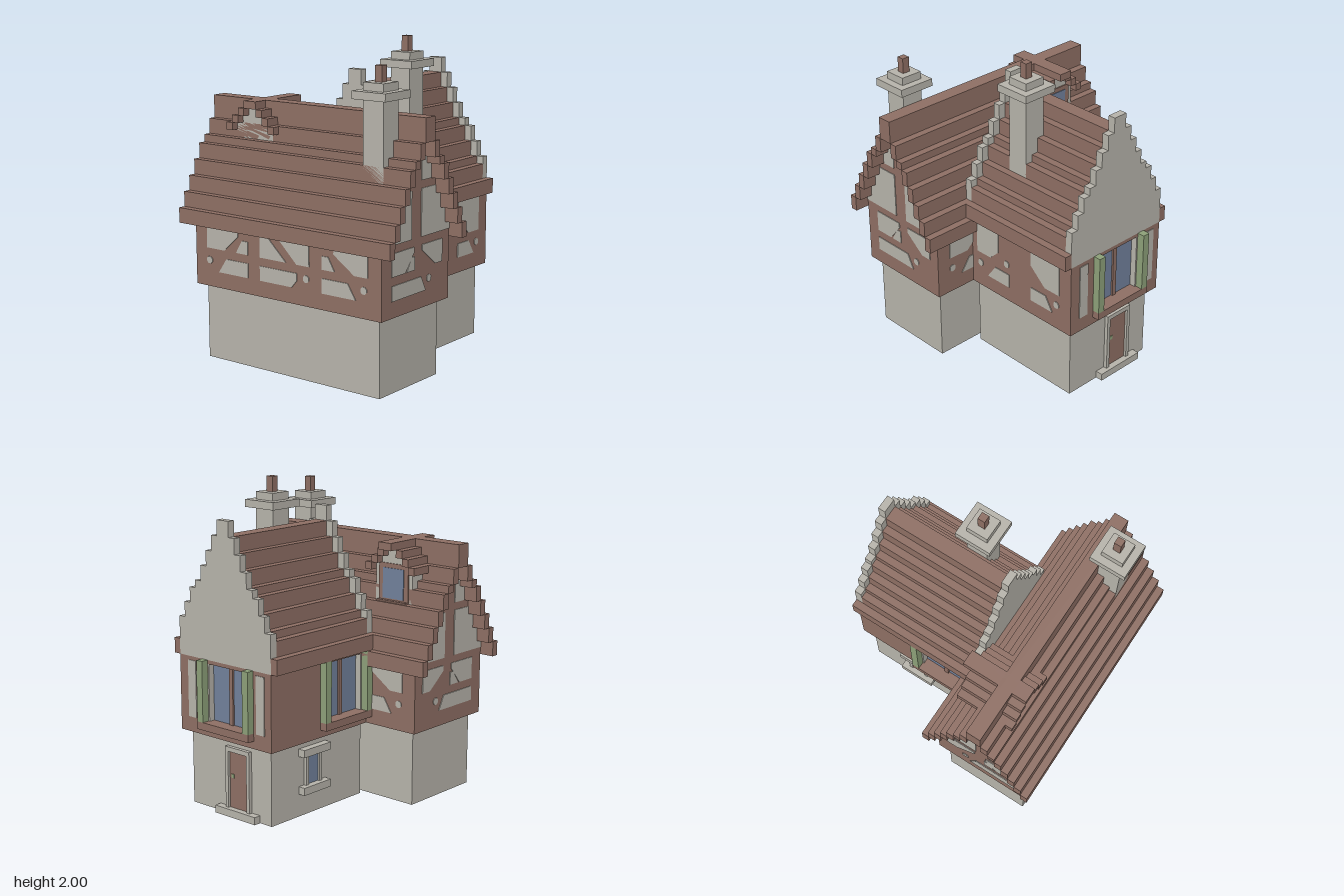
import * as THREE from 'three';

const material = (name, color) => {
  const m = new THREE.MeshStandardMaterial({ color, side: THREE.DoubleSide });
  m.name = name;
  return m;
};

export function createModel() {
  const timber = material('timberBrown', 0x8d6e63);
  const stone = material('stoneGrey', 0xb5b2a9);
  const green = material('shutterGreen', 0x8c9f78);
  const glass = material('windowGlass', 0x70809a);

  // Everything is laid out on a whole-number block grid, 21 blocks per unit
  const house = new THREE.Group();
  house.name = 'house';
  house.scale.setScalar(1 / 21);

  const group = (name, parent = house, x = 0, z = 0, turn = 0) => {
    const g = new THREE.Group();
    g.name = name;
    g.position.set(x, 0, z);
    g.rotation.y = turn;
    parent.add(g);
    return g;
  };
  const add = (parent, name, geometry, mat) => {
    const m = new THREE.Mesh(geometry, mat);
    m.name = name;
    parent.add(m);
    return m;
  };
  // Box given by its minimum and maximum corners
  const box = (parent, name, mat, x0, x1, y0, y1, z0, z1) => {
    const g = new THREE.BoxGeometry(x1 - x0, y1 - y0, z1 - z0);
    g.translate((x0 + x1) / 2, (y0 + y1) / 2, (z0 + z1) / 2);
    return add(parent, name, g, mat);
  };
  const outline = (p) => {
    const pts = [];
    for (let i = 0; i < p.length; i += 2) pts.push(new THREE.Vector2(p[i], p[i + 1]));
    return pts;
  };
  // Thin plaster plates on a wall face, in the wall's own x and y
  const plates = (parent, list) => list.forEach((p) => add(parent, 'plasterPanel',
    new THREE.ExtrudeGeometry(new THREE.Shape(outline(p)), { depth: 0.1, bevelEnabled: false }), stone));
  const dot = (x, y) => [x - 0.2, y - 0.45, x + 0.2, y - 0.45, x + 0.45, y - 0.2, x + 0.45, y + 0.2,
    x + 0.2, y + 0.45, x - 0.2, y + 0.45, x - 0.45, y + 0.2, x - 0.45, y - 0.2];
  const mirror = (list) => list.map((p) => p.map((v, i) => (i % 2 ? v : -v)));

  // Ground floors: shells open underneath
  const shell = (name, ...b) => {
    const m = box(house, name, stone, ...b);
    const idx = Array.from(m.geometry.index.array);
    idx.splice(18, 6);
    m.geometry.setIndex(idx);
    m.geometry.clearGroups();
  };
  shell('frontGroundFloor', -14, 14, 0, 10, 3, 15);
  shell('rearGroundFloor', -6, 8, 0, 10, -15, 2);

  // Upper floors
  box(house, 'frontUpperFloor', timber, -15, 15, 10, 18, 2, 16);
  box(house, 'rearUpperFloor', timber, -6, 9, 10, 20, -15, 2);

  // Stepped roof: blocks on both slopes, with a filled core under them
  const steppedRoof = (g, base, tops, z0, z1, coreMat, c0, c1) => {
    let y = base;
    tops.forEach((top, i) => {
      const d = tops.length - i;
      if (d === 1) box(g, 'roofRidge', timber, -1, 1, y, top, z0, z1);
      else {
        for (const s of [-1, 1]) {
          box(g, 'roofStep', timber, s > 0 ? d - 1 : -d, s > 0 ? d : 1 - d, y, top, z0, z1);
        }
        box(g, 'roofCore', coreMat, 1 - d, d - 1, y, top, c0, c1);
      }
      y = top;
    });
  };
  const frontRoof = group('frontRoof', house, 0, 9, Math.PI / 2);
  steppedRoof(frontRoof, 18, [20, 22, 24, 26, 28, 29, 31, 34], -17, 17, timber, -15, 15);

  const rearRoof = group('rearRoof', house, 1, 0);
  steppedRoof(rearRoof, 20, [22, 24, 25, 27, 29, 30, 32, 34, 36], -15, 2, timber, -15, 2);
  for (const s of [-1, 1]) {
    box(rearRoof, 'eaveEnd', timber, s * 8.5 - 0.5, s * 8.5 + 0.5, 20, 22, -16, -15);
    box(rearRoof, 'eaveEnd', timber, s * 8.5 - 0.5, s * 8.5 + 0.5, 20, 22, 2, 3);
  }

  // Crow-stepped stone gables at both ends of the rear roof
  for (const z of [-16, 2]) {
    let y = 20;
    [25, 27, 29, 30, 32, 34, 36, 38].forEach((top, i) => {
      box(rearRoof, 'stoneGable', stone, i - 8, 8 - i, y, top, z, z + 1);
      y = top;
    });
  }

  // Dormer crossing the front roof
  const dormer = group('dormer', house, -9, 0);
  steppedRoof(dormer, 30, [31, 32, 33, 34], 4, 12, stone, 5, 11);
  box(dormer, 'dormerRidgeEnd', timber, -1, 1, 33, 34, 3, 4);
  box(dormer, 'dormerWall', stone, -3, 3, 24, 30, 5, 11);
  box(dormer, 'dormerFrame', timber, -2.4, 2.4, 25.5, 31, 4.85, 5);
  box(dormer, 'dormerGlass', glass, -1.7, 1.7, 26.4, 30.4, 4.75, 4.9);
  box(dormer, 'dormerSill', timber, -2.4, 2.4, 25.4, 26.2, 4.3, 5);

  // Half-timbered long walls
  const longWall = [
    [-13, 18, -7.7, 18, -7.7, 17.2, -10, 15.1, -13, 15.1],
    [-8, 15.1, -6, 15.1, -6, 16.8, -7, 16.8],
    [-4, 18, -2.8, 18, 0.3, 15.1, -4, 15.1],
    [-1, 18, 4, 18, 4, 15.1, 2, 15.1],
    [6, 15.1, 8, 15.1, 7, 16.8, 6, 16.8],
    [8, 18, 7.8, 17.3, 11, 15.1, 13, 15.1, 13, 18],
    [-11, 12.1, -6, 12.1, -6, 14, -9.7, 14],
    [-4, 12.1, 1.2, 12.1, 2, 13, 2, 14, -4, 14],
    [6, 12.1, 11.2, 12.1, 10, 14, 6, 14],
    dot(-12.6, 13.5), dot(3.5, 13.5), dot(12.4, 13.5)];
  plates(group('frontWallPanels', house, 0, 16), longWall);
  plates(group('backWallPanels', house, 0, 2, Math.PI), longWall);

  // End walls and gables of the front wing
  const gable = [
    [-1, 19, -1, 25, -4, 25, -4, 24, -5, 24, -5, 22, -6, 22, -6, 20, -7, 20, -7, 19],
    [-1, 26, -1, 29.5, -2, 29, -2, 28, -3, 28, -3, 26]];
  const endWall = [
    [-5, 18, -0.5, 18, -0.5, 17.3, -2.3, 15.1, -5, 15.1],
    [-2, 15.1, -0.3, 15.1, -0.3, 16.8, -1, 16.8],
    [1.2, 18, 5.5, 18, 5.5, 15.1, 4, 15.1, 1.2, 17.3],
    [-5, 12.1, 2, 12.1, 1, 14, -5, 14], dot(2.7, 13.5),
    ...gable, ...mirror(gable)];
  plates(group('leftEndPanels', house, 15, 9, Math.PI / 2), endWall);
  plates(group('rightEndPanels', house, -15, 9, -Math.PI / 2), mirror(endWall));

  // Long wall of the rear wing
  plates(group('rearWingPanels', house, 9, -7, Math.PI / 2), [
    [-8, 19.8, -4, 19.8, -4, 16.5, -5.5, 15.1, -8, 15.1],
    [2, 19.8, 2, 17.3, 4.5, 15.1, 7, 15.1, 7, 19.8],
    [-6, 12.1, -2, 12.1, -2, 14, -4.6, 14],
    [2, 12.1, 5.8, 12.1, 4.6, 14, 2, 14],
    dot(-7.4, 13.5), dot(-2.5, 15.4), dot(6.5, 13.5)]);

  // Wall slab with a recessed window, shutters and sill; local x = 0 is the window centre
  const windowWall = (name, x, z, turn, x0, x1) => {
    const g = group(name, house, x, z, turn);
    const wall = new THREE.Shape(outline([x0, 10, x1, 10, x1, 20, x0, 20]));
    wall.holes.push(new THREE.Path(outline([-3.5, 12, -3.5, 19.5, 3.5, 19.5, 3.5, 12])));
    const geo = new THREE.ExtrudeGeometry(wall, { depth: 1, bevelEnabled: false });
    add(g, 'windowWall', geo.translate(0, 0, -1), timber);
    box(g, 'windowGlass', glass, -3.5, 3.5, 12, 19.5, -1, -0.85);
    box(g, 'mullion', timber, -0.3, 0.3, 12, 19.5, -0.9, -0.6);
    box(g, 'windowSill', timber, -4.5, 4.5, 11, 12, 0, 1);
    for (const s of [-1, 1]) {
      box(g, 'windowJamb', stone, s * 3.4 - 0.1, s * 3.4 + 0.1, 12, 19.5, -0.9, -0.02);
      box(g, 'shutter', green, s * 4 - 0.5, s * 4 + 0.5, 12, 20, 0, 1);
    }
    return g;
  };
  const backWindow = windowWall('backWindow', 0.5, -16, Math.PI, -8.5, 7.5);
  plates(backWindow, [[-7, 12, -5.6, 12, -5.6, 19.5, -7, 19.5], [5, 12, 6.4, 12, 6.4, 19.5, 5, 19.5]]);
  windowWall('sideWindow', -7, -2.5, -Math.PI / 2, -12.5, 4.5);

  // Back door with frame and step
  const door = group('backDoor', house, -0.5, -15, Math.PI);
  box(door, 'doorPanel', timber, -1.6, 1.6, 1, 8.5, -0.1, 0.15);
  box(door, 'doorLintel', stone, -2.1, 2.1, 8.5, 9.1, 0, 0.5);
  for (const s of [-1, 1]) box(door, 'doorJamb', stone, s * 1.85 - 0.25, s * 1.85 + 0.25, 1, 8.5, 0, 0.5);
  box(door, 'doorStep', stone, -3.5, 3.5, 0, 1, 0, 1);
  box(door, 'doorKnob', green, -1.3, -0.8, 5, 5.5, 0.1, 0.25);

  // Small ground floor window on the side
  const low = group('lowWindow', house, -6, -7.5, -Math.PI / 2);
  box(low, 'lowGlass', glass, -1, 1, 4, 8, -0.1, 0.1);
  box(low, 'lowLintel', stone, -2.5, 2.5, 8, 9, 0, 1);
  box(low, 'lowSill', stone, -2.5, 2.5, 3, 4, 0, 1);
  for (const s of [-1, 1]) box(low, 'lowJamb', stone, s * 1.25 - 0.25, s * 1.25 + 0.25, 4, 8, 0, 0.4);

  // Chimneys: shaft, wide cap, upper tier and pot
  for (const [x, z, bottom, cap] of [[11.5, 11.5, 24, 36], [4.5, -3.5, 26, 38]]) {
    const c = group('chimney', house, x, z);
    box(c, 'chimneyShaft', stone, -1.5, 1.5, bottom, cap, -1.5, 1.5);
    box(c, 'chimneyCap', stone, -2.5, 2.5, cap, cap + 1, -2.5, 2.5);
    box(c, 'chimneyTier', stone, -1.5, 1.5, cap + 1, cap + 2, -1.5, 1.5);
    box(c, 'chimneyPot', timber, -0.5, 0.5, cap + 2, cap + 4, -0.5, 0.5);
  }

  const model = new THREE.Group();
  model.name = 'timberHouse';
  model.add(house);
  return model;
}
